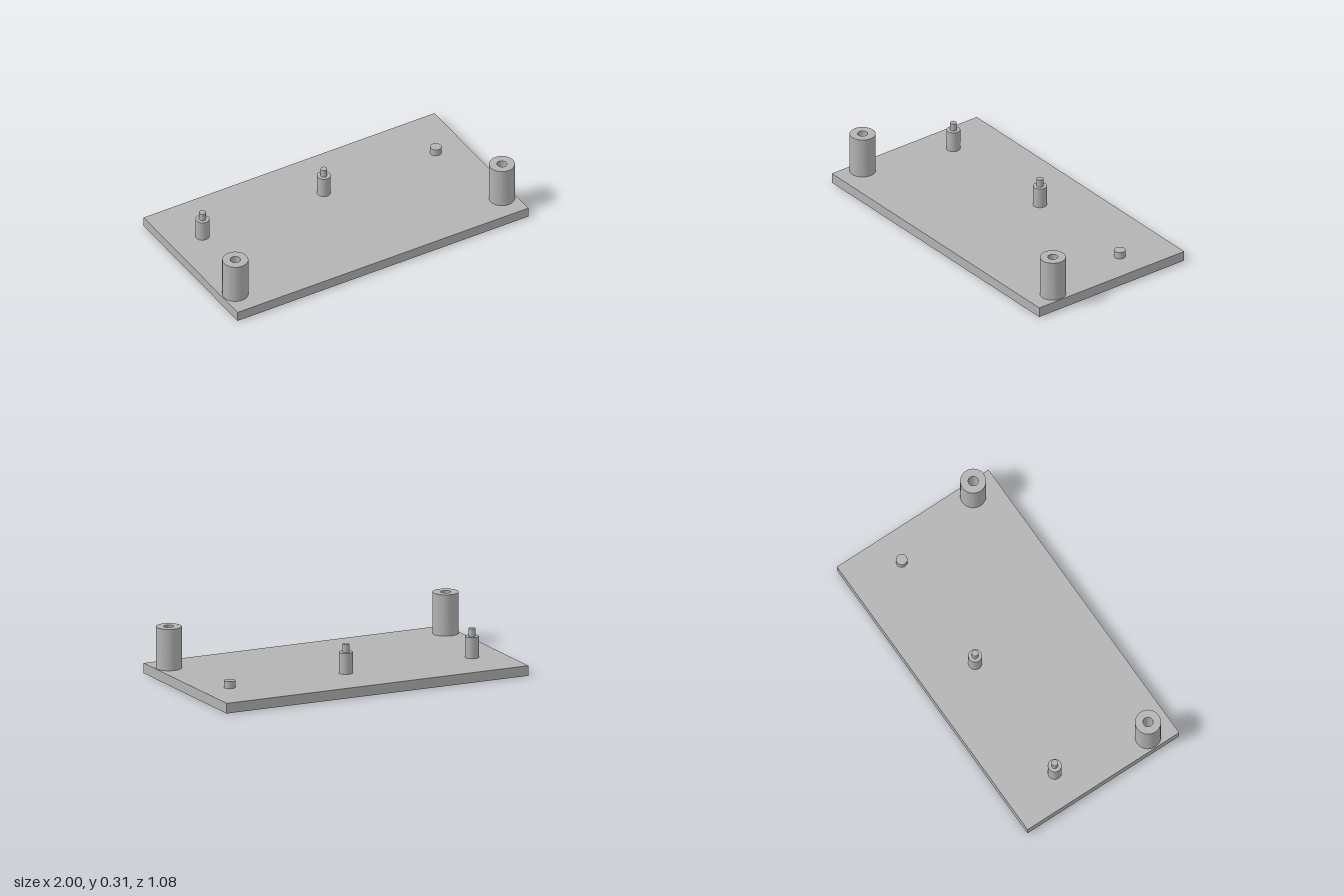
import * as THREE from 'three';
import { toCreasedNormals } from 'three/addons/utils/BufferGeometryUtils.js';

const PLATE_TOP = 0.062;
const HOLE_RADIUS = 0.03;
const POST_Z = 0.376;
const PIN_Z = -0.208;

export function createModel() {
  const model = new THREE.Group();
  model.name = 'mountingPlate';
  const grey = new THREE.MeshStandardMaterial({ color: 0xb3b3b3 });
  grey.name = 'grey';

  function add(name, geometry, x, y, z) {
    const mesh = new THREE.Mesh(geometry, grey);
    mesh.name = name;
    mesh.position.set(x, y, z);
    model.add(mesh);
  }

  // Extrudes a floor-plan shape upwards from y = 0 (shape y becomes -z)
  function extrudeUp(shape, height) {
    const geometry = new THREE.ExtrudeGeometry(shape, { depth: height, bevelEnabled: false, curveSegments: 40 });
    geometry.rotateX(-Math.PI / 2);
    return toCreasedNormals(geometry, 0.6);
  }

  function hole(x, y) {
    return new THREE.Path().absarc(x, y, HOLE_RADIUS, 0, Math.PI * 2, true);
  }

  // Upright cylinder standing on height y
  function addStud(name, radius, x, bottom, top) {
    const geometry = new THREE.CylinderGeometry(radius, radius, top - bottom, 40);
    add(name, geometry, x, (bottom + top) / 2, PIN_Z);
  }

  // Base plate with two through holes
  const plan = new THREE.Shape();
  plan.moveTo(-1, -0.542).lineTo(1, -0.542).lineTo(1, 0.542).lineTo(-1, 0.542).closePath();
  for (const side of [-1, 1]) plan.holes.push(hole(side * 0.917, -POST_Z));
  add('basePlate', extrudeUp(plan, PLATE_TOP), 0, 0, 0);

  // Hollow front posts
  const ring = new THREE.Shape().absarc(0, 0, 0.077, 0, Math.PI * 2, false);
  ring.holes.push(hole(0, 0));
  const post = extrudeUp(ring, 0.314 - PLATE_TOP);
  add('rightPost', post, -0.917, PLATE_TOP, POST_Z);
  add('leftPost', post, 0.917, PLATE_TOP, POST_Z);

  // Stepped pins
  for (const [name, x] of [['rightPin', -0.795], ['middlePin', 0.04]]) {
    addStud(name + 'Base', 0.041, x, PLATE_TOP, 0.19);
    addStud(name + 'Tip', 0.02, x, 0.19, 0.238);
  }

  // Short stud
  addStud('leftStud', 0.034, 0.81, PLATE_TOP, 0.105);

  return model;
}
